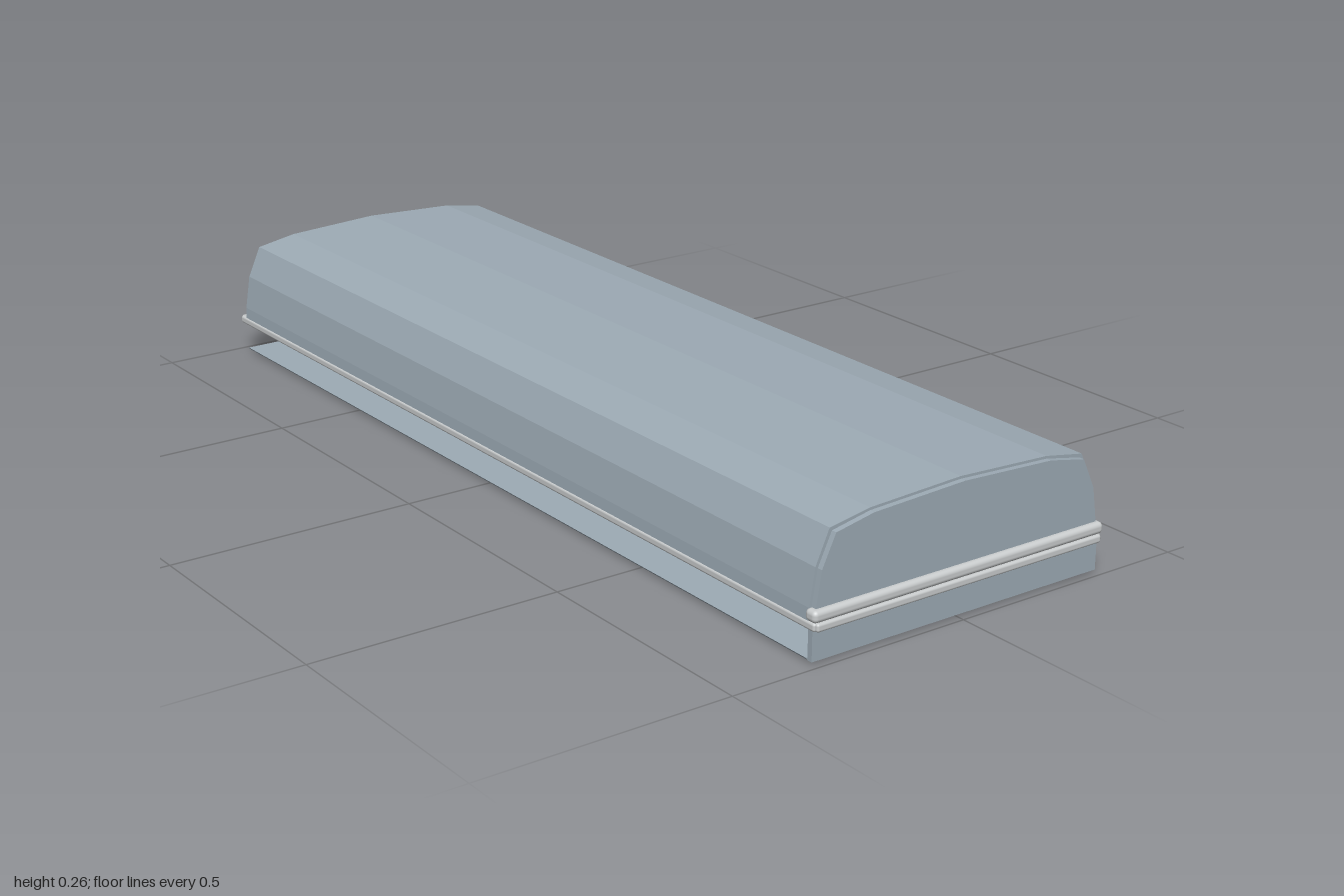
import * as THREE from 'three';
import { RoundedBoxGeometry } from 'three/addons/geometries/RoundedBoxGeometry.js';

const paint = (name, color) => {
  const m = new THREE.MeshStandardMaterial({ color });
  m.name = name;
  return m;
};

// Half profiles as [z, y], from the bottom edge up to the ridge
const OUTER = [[0.327, 0.07], [0.325, 0.1], [0.314, 0.17], [0.286, 0.233], [0.2, 0.248], [0, 0.257]];
const INNER = [[0.322, 0.07], [0.32, 0.1], [0.309, 0.167], [0.281, 0.227], [0.2, 0.243], [0, 0.252]];

// Full profile running from the -z edge over the ridge to the +z edge
const mirrored = (half) => [
  ...half.map(([z, y]) => [-z, y]),
  ...half.slice(0, -1).reverse(),
];

// Extrudes a [z, y] outline along x between two stations
function extrudeX(points, x0, x1) {
  const shape = new THREE.Shape(points.map(([z, y]) => new THREE.Vector2(z, y)));
  const geo = new THREE.ExtrudeGeometry(shape, { depth: x1 - x0, bevelEnabled: false });
  geo.rotateY(Math.PI / 2);
  geo.translate(x0, 0, 0);
  return geo;
}

export function createModel() {
  const model = new THREE.Group();
  model.name = 'coveredBed';

  const shellBlue = paint('blueGreyPanel', 0x9dabb5);
  const metal = paint('lightMetal', 0xc9cccd);
  const wood = paint('brownSlat', 0xb07a50);

  const add = (name, geo, mat, parent = model) => {
    const mesh = new THREE.Mesh(geo, mat);
    mesh.name = name;
    parent.add(mesh);
    return mesh;
  };

  // Arched canopy, open at the -x end
  const arch = [...mirrored(OUTER), ...mirrored(INNER).reverse()];
  add('canopy', extrudeX(arch, -0.975, 0.977), shellBlue);

  // End panel closing the +x end, reaching down to the floor
  const panel = [
    [-0.326, 0.006], [-0.326, 0.07],
    ...mirrored(INNER),
    [0.326, 0.07], [0.326, 0.006],
  ];
  add('endPanel', extrudeX(panel, 0.977, 0.988), shellBlue);

  // Floor sheet with slightly turned-in lower edges
  const floor = [[-0.31, 0], [0.31, 0], [0.322, 0.004], [0.325, 0.008], [-0.325, 0.008], [-0.322, 0.004]];
  add('floorSheet', extrudeX(floor, -0.972, 0.972), shellBlue);

  // Base frame of rounded rails
  const frame = new THREE.Group();
  frame.name = 'baseFrame';
  model.add(frame);
  for (const s of [-1, 1]) {
    add('sideRail', new RoundedBoxGeometry(1.99, 0.016, 0.02, 2, 0.005), metal, frame)
      .position.set(0, 0.07, s * 0.319);
    add('endRail', new RoundedBoxGeometry(0.026, 0.016, 0.65, 2, 0.005), metal, frame)
      .position.set(s * 0.987, 0.07, 0);
  }

  // Thicker bar clamping the end panel
  add('panelBar', new RoundedBoxGeometry(0.028, 0.023, 0.662, 3, 0.009), metal)
    .position.set(0.985, 0.089, 0);

  // Slatted grid: long slats below, cross slats above
  const grid = new THREE.Group();
  grid.name = 'slatGrid';
  model.add(grid);
  const longGeo = new THREE.BoxGeometry(1.85, 0.012, 0.014);
  for (let i = 0; i < 9; i++) {
    add('longSlat', longGeo, wood, grid).position.set(-0.003, 0.053, -0.296 + i * 0.074);
  }
  const crossGeo = new THREE.BoxGeometry(0.016, 0.01, 0.62);
  for (let i = 0; i < 19; i++) {
    add('crossSlat', crossGeo, wood, grid).position.set(-0.92 + i * 0.1018, 0.062, 0);
  }

  return model;
}
